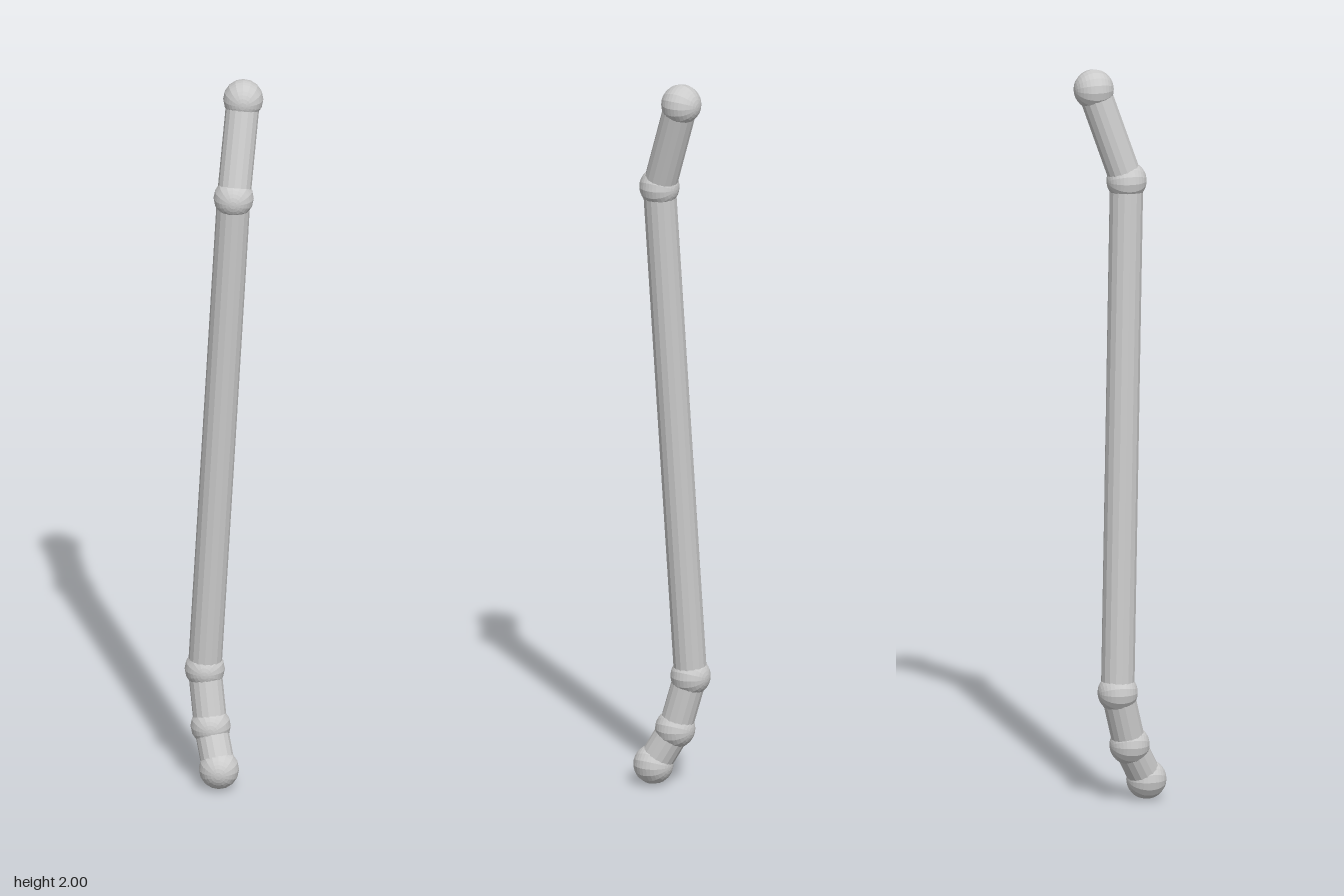
import * as THREE from 'three';

export function createModel() {
  const group = new THREE.Group();
  const material = new THREE.MeshStandardMaterial({ color: 0xcccccc, flatShading: true });
  const jointRadius = 0.054, rodRadius = 0.045, sides = 16;

  // Joint centres from the foot to the tip
  const joints = [
    [-0.012, 0.054, 0.063],
    [-0.036, 0.157, 0.009],
    [-0.053, 0.307, -0.029],
    [0.026, 1.694, 0.019],
    [0.049, 1.946, -0.066],
  ].map((p) => new THREE.Vector3(...p));

  const add = (name, geometry, position) => {
    const mesh = new THREE.Mesh(geometry, material);
    mesh.name = name;
    mesh.position.copy(position);
    group.add(mesh);
    return mesh;
  };

  // Ball at every joint, poles facing front and back
  const ball = new THREE.SphereGeometry(jointRadius, sides, sides).rotateX(Math.PI / 2);
  const ballNames = ['footBall', 'lowerJoint', 'middleJoint', 'upperJoint', 'tipBall'];
  joints.forEach((p, i) => add(ballNames[i], ball, p));

  // Straight rods between neighbouring joints
  const up = new THREE.Vector3(0, 1, 0);
  const rodNames = ['footRod', 'ankleRod', 'longRod', 'tipRod'];
  rodNames.forEach((name, i) => {
    const span = joints[i + 1].clone().sub(joints[i]);
    const middle = joints[i].clone().lerp(joints[i + 1], 0.5);
    const rod = add(name, new THREE.CylinderGeometry(rodRadius, rodRadius, span.length(), sides), middle);
    rod.quaternion.setFromUnitVectors(up, span.normalize());
  });

  return group;
}
